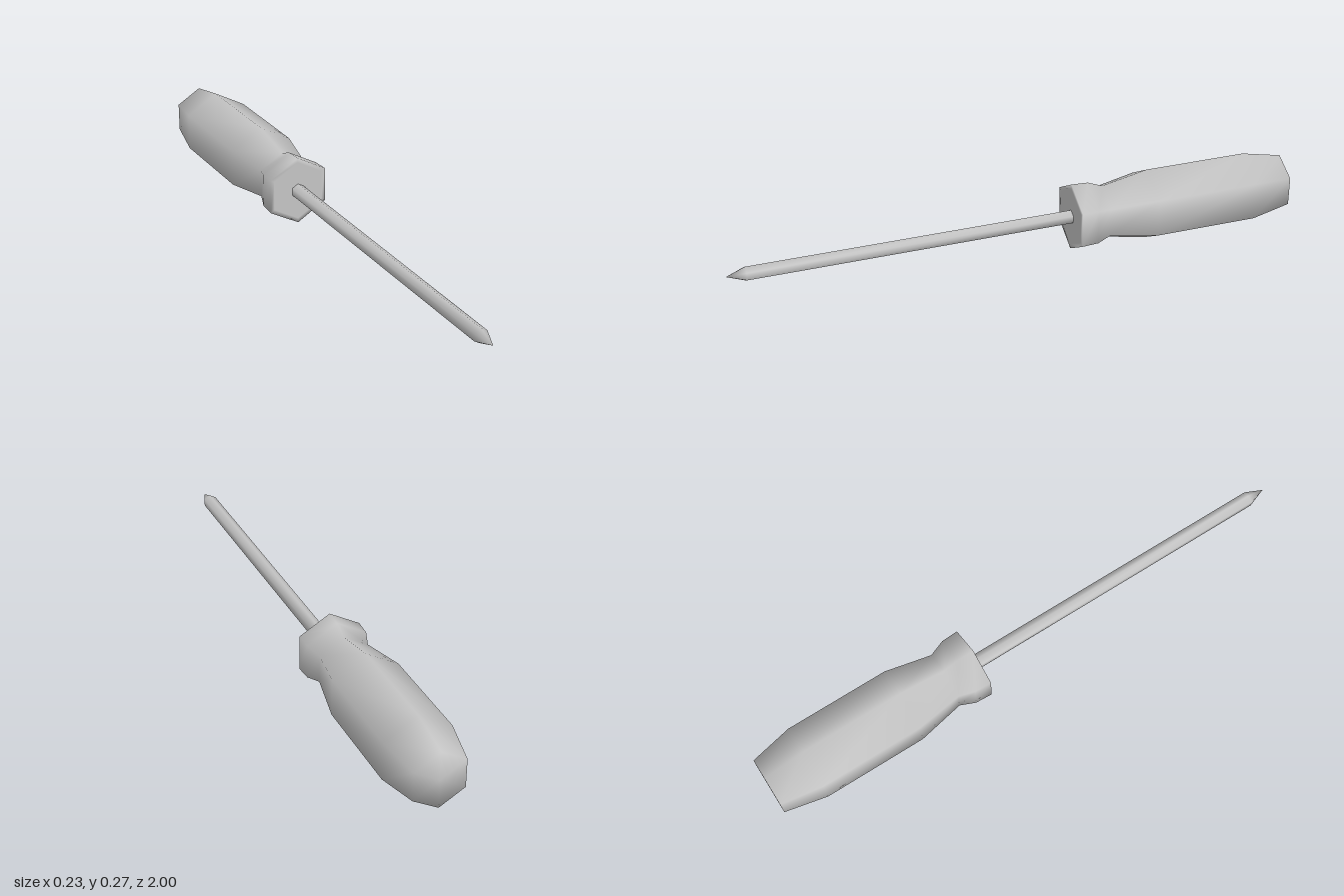
import * as THREE from 'three';
import { mergeVertices } from 'three/addons/utils/BufferGeometryUtils.js';

const AXIS_HEIGHT = 0.134;

// Six-sided turned solid along z, with normals smoothed over the facets.
// Profile points are [radius, z], from back to front.
function hexTurned(name, profile, material) {
  const lathe = new THREE.LatheGeometry(profile.map(([r, z]) => new THREE.Vector2(r, z)), 6);
  lathe.rotateX(Math.PI / 2);
  lathe.deleteAttribute('normal');
  lathe.deleteAttribute('uv');
  const geometry = mergeVertices(lathe);
  geometry.computeVertexNormals();
  const mesh = new THREE.Mesh(geometry, material);
  mesh.name = name;
  mesh.position.y = AXIS_HEIGHT;
  return mesh;
}

export function createModel() {
  const group = new THREE.Group();
  group.name = 'screwdriver';
  const grey = new THREE.MeshStandardMaterial({ color: 0xc4c4c4 });
  grey.name = 'light grey';

  // Handle: tapered butt, full grip, narrow neck and front collar
  group.add(hexTurned('handle', [
    [0, -1], [0.102, -1],
    [0.134, -0.85], [0.134, -0.48],
    [0.1, -0.315],
    [0.122, -0.26], [0.125, -0.2],
    [0.108, -0.2], [0, -0.2],
  ], grey));

  // Shaft with its pointed tip, set slightly into the collar
  group.add(hexTurned('shaft', [
    [0.026, -0.21], [0.026, 0.935], [0, 1],
  ], grey));

  return group;
}
